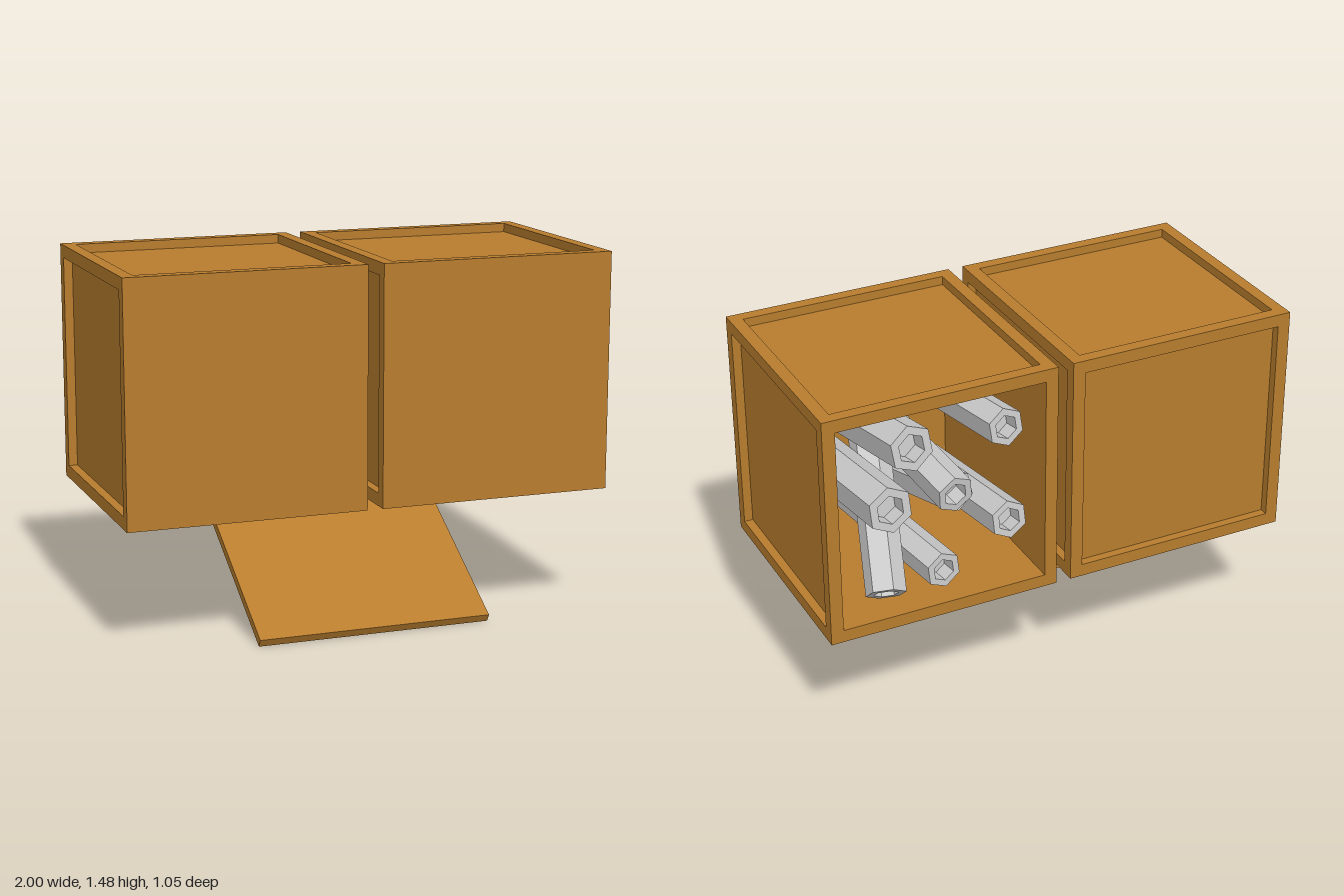
import * as THREE from 'three';

const wood = new THREE.MeshStandardMaterial({ color: 0xb87d2e });
const metal = new THREE.MeshStandardMaterial({ color: 0xcccccc, flatShading: true });
const S = 0.968; // crate edge length
const B = 0.052; // beam width
const T = 0.016; // panel thickness

function box(parent, name, size, pos) {
  const mesh = new THREE.Mesh(new THREE.BoxGeometry(...size), wood);
  mesh.name = name;
  mesh.position.set(...pos);
  parent.add(mesh);
  return mesh;
}

// Cube crate with a plain front and recessed panels on the other sides
function createCrate(name, openBack) {
  const crate = new THREE.Group();
  crate.name = name;
  const e = (S - B) / 2;
  const inner = S - 2 * B;
  const p = S / 2 - B + T / 2;
  box(crate, 'frontPanel', [S, S, B], [0, 0, e]);
  for (const s of [-1, 1]) {
    for (const t of [-1, 1]) box(crate, 'cornerBeam', [B, B, inner], [s * e, t * e, 0]);
    box(crate, 'backBeam', [S, B, B], [0, s * e, -e]);
    box(crate, 'backPost', [B, inner, B], [s * e, 0, -e]);
    box(crate, 'sidePanel', [T, inner, inner], [s * p, 0, 0]);
    box(crate, s > 0 ? 'topPanel' : 'bottomPanel', [inner, T, inner], [0, s * p, 0]);
  }
  if (!openBack) box(crate, 'backPanel', [inner, inner, T], [0, 0, -p]);
  return crate;
}

// Loose lid: flat on top, raised rim underneath
function createLid() {
  const lid = new THREE.Group();
  lid.name = 'lid';
  const e = (S - B) / 2;
  box(lid, 'lidBoard', [S, 0.02, S], [0, 0.0075, 0]);
  for (const s of [-1, 1]) {
    box(lid, 'lidRimLong', [S, 0.015, B], [0, -0.01, s * e]);
    box(lid, 'lidRimShort', [B, 0.015, S - 2 * B], [s * e, -0.01, 0]);
  }
  return lid;
}

// Six-sided canister with hollowed ends, running from start along dir
function createCanister(start, dir, length, r) {
  const h = r * 0.62;
  const profile = [
    [0, 0.07], [h, 0.07], [h, 0], [r, 0.0], [r, length],
    [h, length], [h, length - 0.07], [0, length - 0.07],
  ].map(([x, y]) => new THREE.Vector2(x, y));
  const mesh = new THREE.Mesh(new THREE.LatheGeometry(profile, 6), metal);
  mesh.name = 'canister';
  mesh.position.set(...start);
  mesh.quaternion.setFromUnitVectors(
    new THREE.Vector3(0, 1, 0), new THREE.Vector3(...dir).normalize());
  return mesh;
}

export function createModel() {
  const model = new THREE.Group();
  model.name = 'crates';

  const left = createCrate('openCrate', true);
  left.position.set(0.516, 0.992, 0.026);
  const right = createCrate('closedCrate', false);
  right.position.set(-0.516, 0.992, 0.026);
  const lid = createLid();
  lid.position.set(0.003, 0.258, 0.095);
  lid.rotation.x = Math.PI / 6;
  model.add(left, right, lid);

  // Pile of canisters: start, direction, length, radius
  const canisters = new THREE.Group();
  canisters.name = 'canisters';
  const pile = [
    [[0.765, 1.08, -0.52], [0.06, -0.1, 1], 0.75, 0.095],
    [[0.655, 1.295, -0.48], [0.12, -0.12, 1], 0.75, 0.095],
    [[0.545, 0.745, -0.505], [0.1, -0.04, 1], 0.75, 0.075],
    [[0.76, 0.66, -0.44], [-0.09, 0.32, 0.3], 0.72, 0.08],
    [[0.24, 0.86, -0.455], [0.05, -0.12, 1], 0.72, 0.08],
    [[0.465, 1.03, -0.45], [0.1, 0.12, 1], 0.72, 0.08],
    [[0.235, 1.25, -0.42], [0.1, -0.1, 1], 0.72, 0.08],
    [[0.4, 0.95, -0.3], [0.1, -0.25, 1], 0.65, 0.085],
  ];
  for (const c of pile) canisters.add(createCanister(...c));
  model.add(canisters);
  return model;
}
